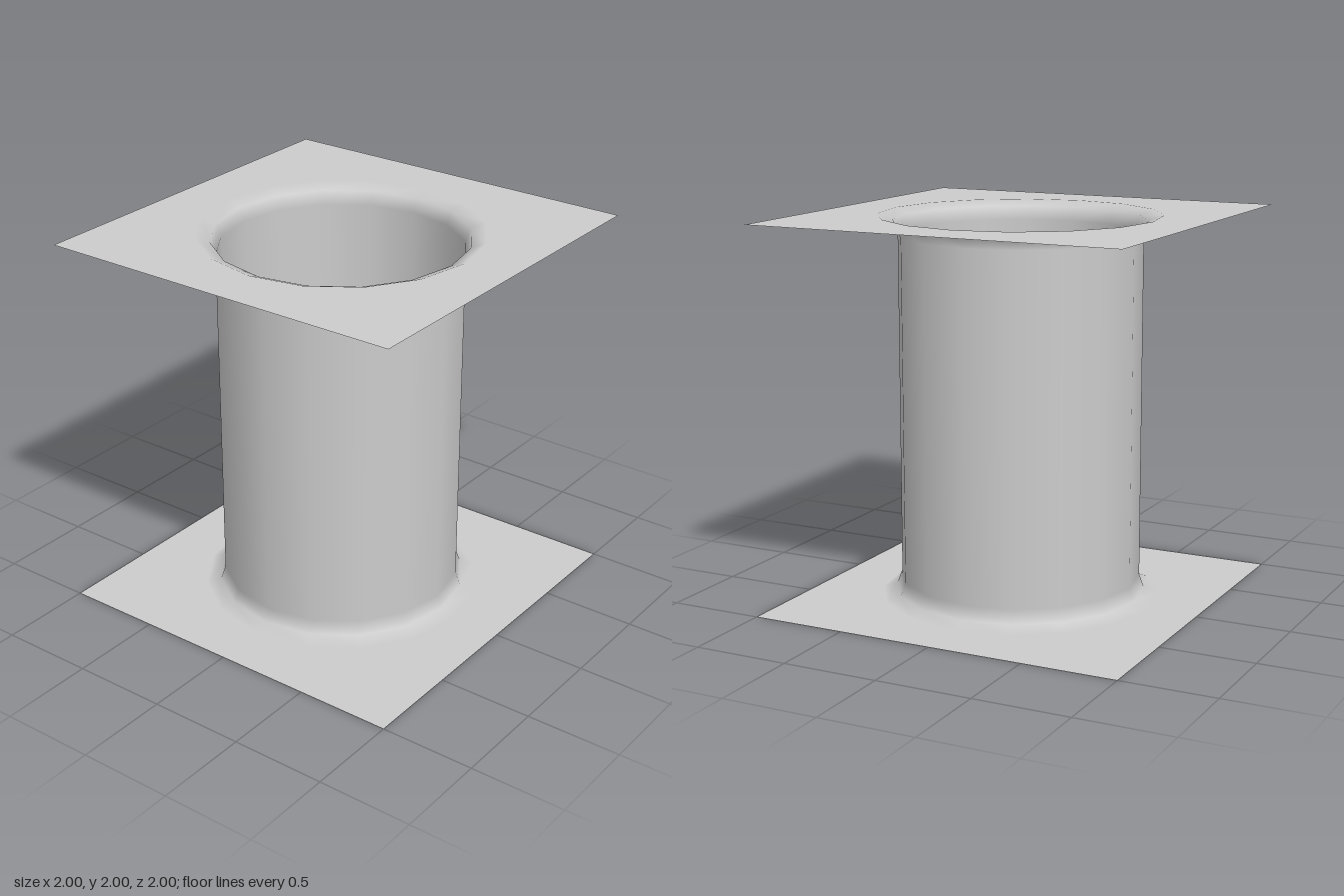
import * as THREE from 'three';

const SIDES = 16, FLARE = 0.73;

export function createModel() {
  const grey = new THREE.MeshStandardMaterial({ color: 0xcccccc, side: THREE.DoubleSide });
  grey.name = 'plainGrey';
  const group = new THREE.Group();
  group.name = 'flangedSleeve';

  const add = (name, geometry) => {
    const mesh = new THREE.Mesh(geometry, grey);
    mesh.name = name;
    group.add(mesh);
    return mesh;
  };

  // Open tube flaring into both plates: radius, height, tilt of the normal
  const profile = [
    [FLARE, 0, Math.PI / 2], [0.655, 0.03, Math.PI / 4], [0.63, 0.1, 0],
    [0.63, 1.9, 0], [0.655, 1.97, -Math.PI / 4], [FLARE, 2, -Math.PI / 2],
  ];
  const tube = new THREE.LatheGeometry(profile.map(([r, y]) => new THREE.Vector2(r, y)), SIDES);
  // Blend the shading from the upright wall to the flat plates
  const normal = tube.attributes.normal;
  for (let i = 0; i <= SIDES; i++) {
    const a = (i / SIDES) * Math.PI * 2;
    profile.forEach(([, , tilt], j) => {
      const c = Math.cos(tilt);
      normal.setXYZ(i * profile.length + j, Math.sin(a) * c, Math.sin(tilt), Math.cos(a) * c);
    });
  }
  add('tube', tube);

  // Thin square plates with a hole matching the flare
  const square = new THREE.Shape([[-1, -1], [1, -1], [1, 1], [-1, 1]].map(([x, y]) => new THREE.Vector2(x, y)));
  const rim = Array.from({ length: SIDES }, (_, i) => {
    const a = -(i / SIDES) * Math.PI * 2;
    return new THREE.Vector2(Math.cos(a) * FLARE, Math.sin(a) * FLARE);
  });
  square.holes.push(new THREE.Path(rim));
  const plate = new THREE.ShapeGeometry(square).rotateX(-Math.PI / 2);
  add('bottomPlate', plate);
  add('topPlate', plate).position.y = 2;

  return group;
}
